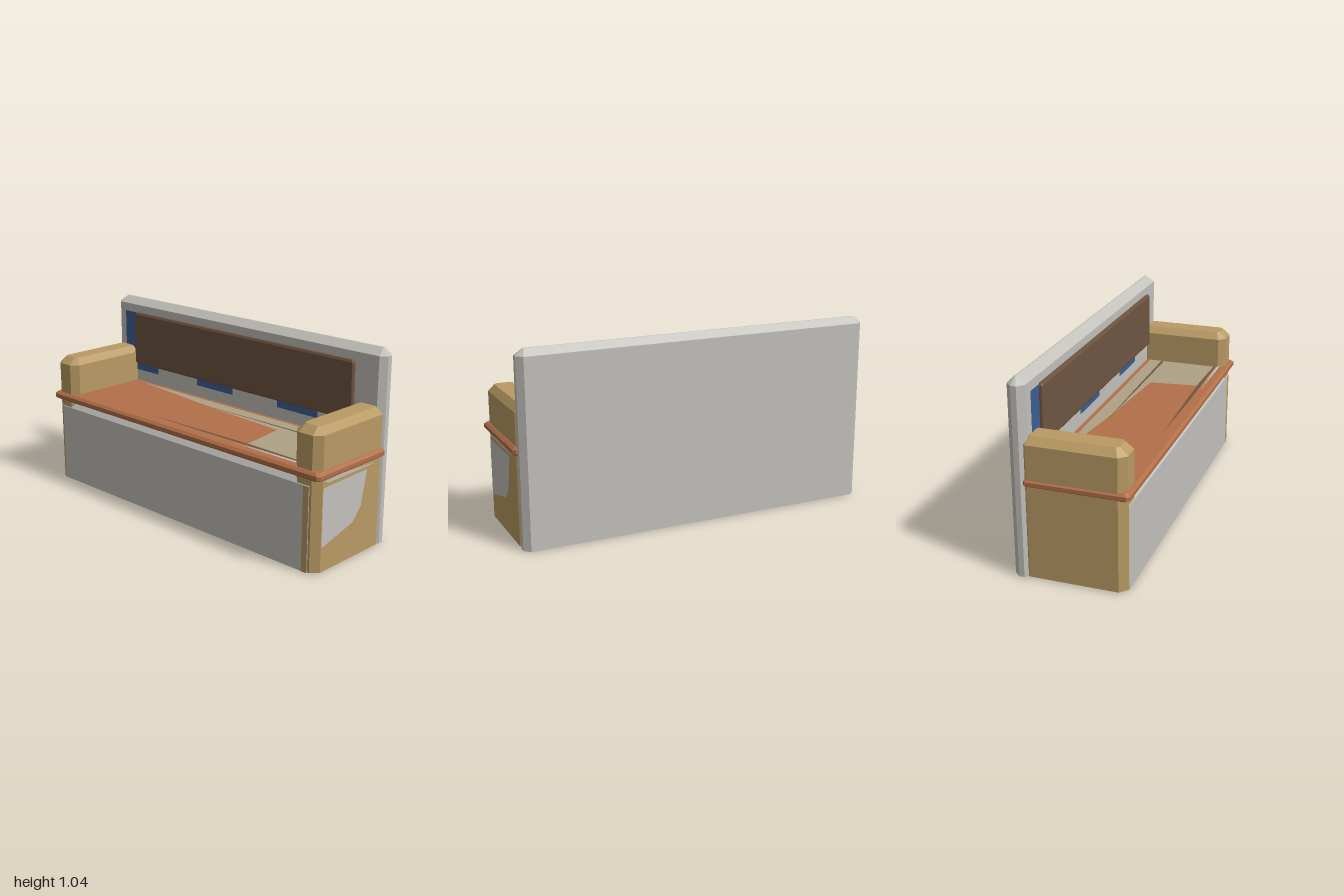
import * as THREE from 'three';

const mat = (name, color, side = THREE.FrontSide) => {
  const m = new THREE.MeshStandardMaterial({ color, side });
  m.name = name;
  return m;
};

// Stack of corner-cut rectangles, each [y, x0, x1, z0, z1, cut]
function chamferedStack(layers) {
  const rings = layers.map(([y, x0, x1, z0, z1, c]) => [
    [x1, y, z1 - c], [x1, y, z0 + c], [x1 - c, y, z0], [x0 + c, y, z0],
    [x0, y, z0 + c], [x0, y, z1 - c], [x0 + c, y, z1], [x1 - c, y, z1],
  ]);
  const pos = [];
  const tri = (a, b, c) => pos.push(...a, ...b, ...c);
  for (let k = 0; k < rings.length - 1; k++) {
    const lo = rings[k], hi = rings[k + 1];
    for (let i = 0; i < 8; i++) {
      const j = (i + 1) % 8;
      tri(lo[i], lo[j], hi[j]);
      tri(lo[i], hi[j], hi[i]);
    }
  }
  const bottom = rings[0], top = rings[rings.length - 1];
  for (let i = 1; i < 7; i++) {
    tri(top[0], top[i], top[i + 1]);
    tri(bottom[0], bottom[i + 1], bottom[i]);
  }
  const g = new THREE.BufferGeometry();
  g.setAttribute('position', new THREE.Float32BufferAttribute(pos, 3));
  g.computeVertexNormals();
  return g;
}

// Flat inlay facing one way; points are (x,y), (x,z) or (z,y) by facing
function inlay(facing, at, points) {
  const flip = {
    front: ([x, y]) => [x, y], top: ([x, z]) => [x, -z],
    bottom: ([x, z]) => [x, z], right: ([z, y]) => [-z, y],
  }[facing];
  const g = new THREE.ShapeGeometry(new THREE.Shape(points.map((p) => new THREE.Vector2(...flip(p)))));
  if (facing === 'top') g.rotateX(-Math.PI / 2).translate(0, at, 0);
  else if (facing === 'bottom') g.rotateX(Math.PI / 2).translate(0, at, 0);
  else if (facing === 'right') g.rotateY(Math.PI / 2).translate(at, 0, 0);
  else g.translate(0, 0, at);
  return g;
}
const rect = (a0, a1, b0, b1) => [[a0, b0], [a1, b0], [a1, b1], [a0, b1]];

export function createModel() {
  const model = new THREE.Group();
  model.name = 'bench';
  const grey = mat('pale grey', 0xc3c1bc);
  const tan = mat('tan wood', 0xb99a63);
  const orange = mat('orange wood', 0xb26f49);
  const brown = mat('dark brown', 0x6f5541);
  const blue = mat('blue', 0x3c5f95);
  const taupe = mat('taupe', 0xaea286);
  const add = (name, geometry, material) => {
    const m = new THREE.Mesh(geometry, material);
    m.name = name;
    model.add(m);
  };

  // Tall back with a ridged top
  add('back', chamferedStack([
    [0, -1, 0.98, -0.303, -0.21, 0.032],
    [1.0, -1, 0.98, -0.303, -0.21, 0.032],
    [1.035, -0.955, 0.94, -0.268, -0.258, 0.004],
  ]), grey);

  // Closed base below the seat
  add('base', chamferedStack([
    [0, -0.985, 0.972, -0.26, 0.285, 0.045],
    [0.45, -0.985, 0.972, -0.26, 0.285, 0.045],
    [0.495, -0.95, 0.94, -0.26, 0.25, 0.04],
  ]), grey);

  // Arms reaching to the floor, with bevelled tops
  for (const [name, x0, x1] of [['leftArm', 0.815, 0.98], ['rightArm', -0.992, -0.827]]) {
    add(name, chamferedStack([
      [0.004, x0, x1, -0.255, 0.282, 0.038],
      [0.708, x0, x1, -0.255, 0.282, 0.038],
      [0.745, x0 + 0.035, x1 - 0.03, -0.215, 0.24, 0.015],
    ]), tan);
  }

  // Seat slab with a bevelled rim
  add('seat', chamferedStack([
    [0.488, -0.985, 0.985, -0.23, 0.288, 0.015],
    [0.5, -1, 1, -0.237, 0.303, 0.015],
    [0.52, -1, 1, -0.237, 0.303, 0.015],
    [0.533, -0.985, 0.985, -0.23, 0.288, 0.015],
  ]), orange);

  // Worn area, thin seams and edge strip on the seat
  add('seatWornArea', inlay('top', 0.535, [
    [-0.75, -0.185], [0.815, -0.185], [0.815, 0.25], [0.47, 0.235], [0.43, -0.06], [-0.1, -0.105],
  ]), taupe);
  add('seatRearSeam', inlay('top', 0.538, [[-0.24, -0.1], [0.3, -0.108], [0.8, -0.112], [0.8, -0.095]]), brown);
  add('seatFrontSeam', inlay('top', 0.538, [[-0.27, 0.232], [0.5, 0.213], [0.81, 0.222], [0.81, 0.235], [0.2, 0.238]]), brown);
  add('seatEdgeStrip', inlay('top', 0.538, [[0.36, 0.252], [0.82, 0.242], [0.82, 0.256]]), grey);

  // Back cushion board
  add('backCushion', chamferedStack([
    [0.642, -0.815, 0.808, -0.215, -0.195, 0.003],
    [0.652, -0.825, 0.812, -0.215, -0.189, 0.005],
    [0.945, -0.825, 0.806, -0.215, -0.189, 0.005],
    [0.956, -0.815, 0.8, -0.215, -0.195, 0.003],
  ]), brown);

  // Blue panels showing around the cushion
  for (const [x0, x1, y1] of [[-0.92, -0.64, 0.953], [-0.31, -0.03, 0.7], [0.3, 0.58, 0.7]]) {
    add('backPanel', inlay('front', -0.207, rect(x0, x1, 0.6, y1)), blue);
  }

  // Grey inlays on the left end, tan strip on the front
  add('leftEndInlay', inlay('right', 0.982, [
    [0.242, 0.135], [0, 0.195], [-0.065, 0.265], [-0.105, 0.45], [0.242, 0.445],
  ]), grey);
  add('leftEndStrip', inlay('right', 0.982, [[0.242, 0.478], [0.2, 0.465], [-0.16, 0.466], [-0.16, 0.471], [0.1, 0.484]]), grey);
  add('frontStrip', inlay('front', 0.287, rect(0.895, 0.93, 0, 0.45)), tan);

  // Floor pads
  for (const [x0, x1] of [[0.66, 0.88], [-0.94, -0.73]]) {
    const zs = [-0.14, 0.2], c = 0.03;
    add('floorPad', inlay('bottom', -0.002, [
      [x0 + c, zs[0]], [x1 - c, zs[0]], [x1, zs[0] + c], [x1, zs[1] - c],
      [x1 - c, zs[1]], [x0 + c, zs[1]], [x0, zs[1] - c], [x0, zs[0] + c],
    ]), tan);
  }
  return model;
}
